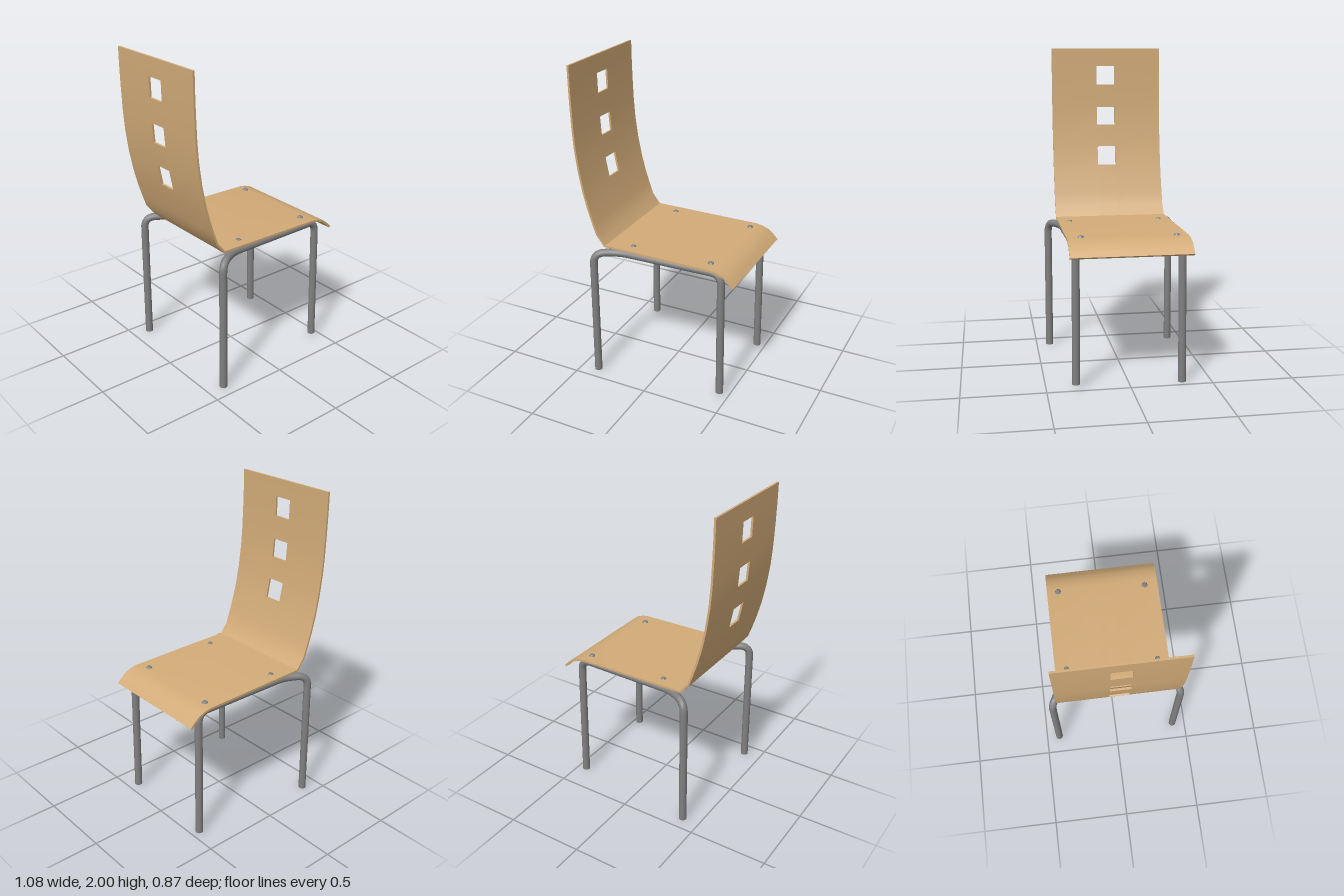
import * as THREE from 'three';
import { toCreasedNormals } from 'three/addons/utils/BufferGeometryUtils.js';

const wood = new THREE.MeshStandardMaterial({ color: 0xd2ab78 });
const steel = new THREE.MeshStandardMaterial({ color: 0x808080 });

// Side profile of the bent panel (x, y), from the top of the back to the seat's front lip
const PROFILE = [
  [-0.534, 2], [-0.533, 1.885], [-0.53, 1.76], [-0.524, 1.61], [-0.515, 1.49], [-0.495, 1.345],
  [-0.47, 1.22], [-0.44, 1.11], [-0.414, 1.03], [-0.387, 0.955], [-0.333, 0.887],
  [0.38, 0.881], [0.42, 0.875], [0.465, 0.859], [0.5, 0.831], [0.53, 0.801],
].map(([x, y]) => new THREE.Vector2(x, y));
const COLUMNS = [-0.37, -0.06, 0.06, 0.362];
const HOLE_ROWS = [1, 3, 5];
const THICKNESS = 0.013;

// One bent sheet made of grid cells; the cut-outs are skipped and get walls
function bentPanel() {
  const rows = PROFILE.length - 1;
  const normals = PROFILE.map((p, i) => {
    const t = PROFILE[Math.min(i + 1, rows)].clone().sub(p).normalize()
      .add(p.clone().sub(PROFILE[Math.max(i - 1, 0)]).normalize()).normalize();
    return new THREE.Vector2(-t.y, t.x);
  });
  const corner = ([i, j], side) => {
    const p = PROFILE[i].clone().addScaledVector(normals[i], side * THICKNESS / 2);
    return [p.x, p.y, COLUMNS[j]];
  };
  const solid = (i, j) => i >= 0 && i < rows && j >= 0 && j < 3 && !(j === 1 && HOLE_ROWS.includes(i));
  const positions = [];
  const quad = (a, b, c, d) => positions.push(...a, ...b, ...c, ...a, ...c, ...d);
  for (let i = 0; i < rows; i++) {
    for (let j = 0; j < 3; j++) {
      if (!solid(i, j)) continue;
      const loop = [[i, j], [i, j + 1], [i + 1, j + 1], [i + 1, j]];
      const neighbours = [[i - 1, j], [i, j + 1], [i + 1, j], [i, j - 1]];
      quad(...loop.map((c) => corner(c, 1)));
      quad(...loop.map((c) => corner(c, -1)).reverse());
      neighbours.forEach((n, k) => {
        if (solid(...n)) return;
        const p = loop[k], q = loop[(k + 1) % 4];
        quad(corner(p, -1), corner(q, -1), corner(q, 1), corner(p, 1));
      });
    }
  }
  const geometry = new THREE.BufferGeometry();
  geometry.setAttribute('position', new THREE.Float32BufferAttribute(positions, 3));
  return toCreasedNormals(geometry, 0.6);
}

// Path through corner points, each inner corner rounded off
function roundedPath(points, bend) {
  const path = new THREE.CurvePath();
  let start = points[0];
  for (let i = 1; i < points.length - 1; i++) {
    const towards = (q) => points[i].clone().add(q.clone().sub(points[i]).setLength(bend));
    const a = towards(points[i - 1]), b = towards(points[i + 1]);
    path.add(new THREE.LineCurve3(start, a));
    path.add(new THREE.QuadraticBezierCurve3(a, points[i], b));
    start = b;
  }
  path.add(new THREE.LineCurve3(start, points[points.length - 1]));
  return path;
}

// Bent tube: rear leg, rail under the seat and front leg in one piece
function legFrame(side, frontFootY) {
  const radius = 0.024;
  const v = (x, y, z) => new THREE.Vector3(x, y, side * z);
  const points = [
    v(-0.385, 0, 0.413), v(-0.385, 0.853, 0.413), v(-0.25, 0.853, 0.335),
    v(0.434, 0.853, 0.318), v(0.443, frontFootY, 0.322),
  ];
  const frame = new THREE.Group();
  const tube = new THREE.TubeGeometry(roundedPath(points, 0.07), 110, radius, 12);
  frame.add(new THREE.Mesh(tube, steel));
  for (const foot of [points[0], points[4]]) {
    const cap = new THREE.Mesh(new THREE.CircleGeometry(radius, 12), steel);
    cap.name = 'footCap';
    cap.rotation.x = Math.PI / 2;
    cap.position.copy(foot);
    frame.add(cap);
  }
  frame.children[0].name = 'bentTube';
  return frame;
}

export function createModel() {
  const chair = new THREE.Group();
  chair.name = 'chair';

  const panel = new THREE.Mesh(bentPanel(), wood);
  panel.name = 'seatAndBack';
  chair.add(panel);

  const left = legFrame(1, 0.02);
  left.name = 'leftLegFrame';
  const right = legFrame(-1, 0);
  right.name = 'rightLegFrame';
  chair.add(left, right);

  // Screw heads that fix the panel to the rails
  const head = toCreasedNormals(new THREE.CylinderGeometry(0.013, 0.021, 0.012, 8), 0.5);
  for (const [x, z] of [[-0.17, -0.297], [-0.17, 0.288], [0.368, -0.297], [0.348, 0.276]]) {
    const screw = new THREE.Mesh(head, steel);
    screw.name = 'screwHead';
    screw.position.set(x, 0.892, z);
    chair.add(screw);
  }
  return chair;
}
